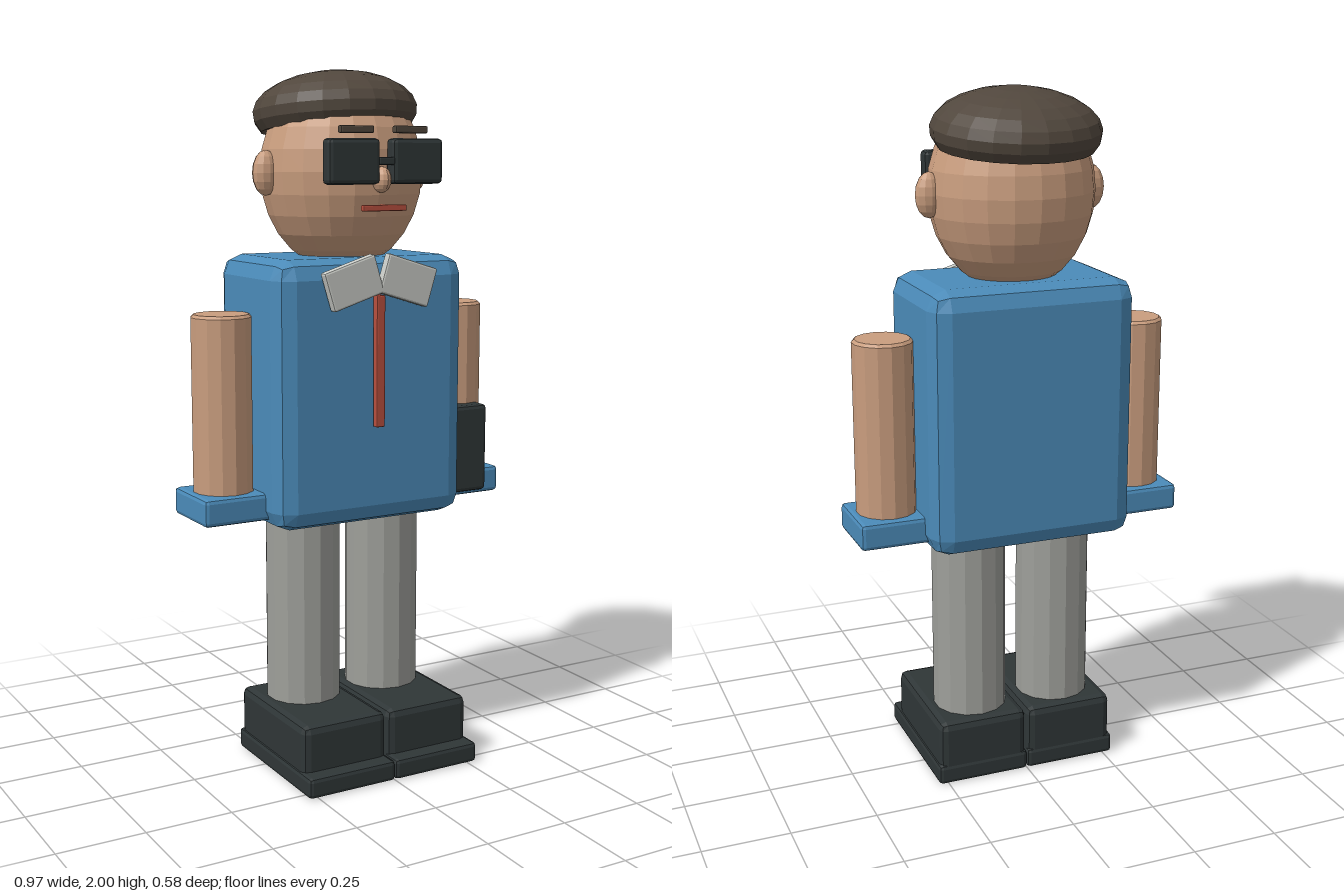
import * as THREE from 'three';
import { RoundedBoxGeometry } from 'three/addons/geometries/RoundedBoxGeometry.js';

const paint = (name, color) => Object.assign(new THREE.MeshStandardMaterial({ color }), { name });

export function createModel() {
  const blue = paint('shirtBlue', 0x4b8bb9);
  const skin = paint('skin', 0xc99d7e);
  const grey = paint('trouserGrey', 0x9e9f9a);
  const black = paint('black', 0x2f3637);
  const brown = paint('capBrown', 0x51473d);
  const white = paint('collarWhite', 0xc9cbc6);
  const red = paint('red', 0xb9503f);

  const model = new THREE.Group();
  model.name = 'figure';

  // Faceted mesh
  function add(name, geometry, material, x, y, z) {
    const flat = geometry.index ? geometry.toNonIndexed() : geometry;
    flat.computeVertexNormals();
    const mesh = new THREE.Mesh(flat, material);
    mesh.name = name;
    mesh.position.set(x, y, z);
    model.add(mesh);
    return mesh;
  }
  const box = (name, material, w, h, d, x, y, z, r = 0.012) =>
    add(name, new RoundedBoxGeometry(w, h, d, 1, r), material, x, y, z);
  const ball = (name, material, rx, ry, rz, x, y, z, sides = 12, rings = 8) =>
    add(name, new THREE.SphereGeometry(1, sides, rings).scale(rx, ry, rz), material, x, y, z);

  // Upright cylinder with slightly bevelled rims
  function post(name, material, r, y0, y1, x, z) {
    const b = 0.008;
    const profile = [[0, y0], [r - b, y0], [r, y0 + b], [r, y1 - b], [r - b, y1], [0, y1]];
    return add(name, new THREE.LatheGeometry(profile.map(p => new THREE.Vector2(...p)), 14), material, x, 0, z);
  }

  // Torso
  box('torso', blue, 0.605, 0.755, 0.398, 0, 1.108, -0.029, 0.055);

  // Head, nose and mouth
  ball('head', skin, 0.236, 0.28, 0.218, 0, 1.72, -0.028, 20, 14);
  ball('nose', skin, 0.024, 0.036, 0.035, 0, 1.7, 0.197);
  box('mouth', red, 0.136, 0.017, 0.018, 0, 1.624, 0.21, 0.003);

  // Flat cap: squashed dome tilted back, closed underneath
  const dome = [new THREE.Vector2(0, -0.048)];
  for (let i = 8; i >= 0; i--) {
    const a = i / 8 * 2.0;
    dome.push(new THREE.Vector2(Math.sin(a) * 0.238, Math.cos(a) * 0.115));
  }
  const cap = add('cap', new THREE.LatheGeometry(dome, 20), brown, 0, 1.885, -0.064);
  cap.rotation.x = -0.105;
  cap.scale.z = 0.96;

  // Bridge of the glasses and tie
  box('glassesBridge', black, 0.05, 0.022, 0.03, 0, 1.75, 0.212, 0.004);
  box('tie', red, 0.028, 0.37, 0.022, 0, 1.2, 0.188, 0.004);

  // Mirrored parts
  for (const [side, s] of [['left', 1], ['right', -1]]) {
    ball(side + 'Ear', skin, 0.04, 0.063, 0.031, s * 0.24, 1.717, -0.027);
    ball(side + 'Eye', black, 0.03, 0.03, 0.025, s * 0.085, 1.75, 0.19);
    box(side + 'Lens', black, 0.16, 0.123, 0.045, s * 0.1, 1.749, 0.206);
    box(side + 'Brow', brown, 0.102, 0.02, 0.022, s * 0.085, 1.834, 0.205, 0.004);
    box(side + 'Collar', white, 0.165, 0.112, 0.028, s * 0.086, 1.422, 0.19, 0.006).rotation.z = -s * 0.3;

    post(side + 'Arm', skin, 0.086, 0.752, 1.333, s * 0.382, -0.028);
    box(side + 'Cuff', blue, 0.21, 0.078, 0.215, s * 0.382, 0.795, -0.028);

    post(side + 'Leg', grey, 0.109, 0.15, 0.78, s * 0.133, -0.023);
    box(side + 'Shoe', black, 0.27, 0.17, 0.405, s * 0.137, 0.107, 0.042, 0.022);
    box(side + 'Sole', black, 0.279, 0.06, 0.455, s * 0.1395, 0.035, 0.064);
  }
  model.traverse(o => { if (/Sole$/.test(o.name)) o.position.y = 0.03; });

  // Case held at the left side
  box('case', black, 0.16, 0.262, 0.06, 0.35, 0.9, 0.069);

  return model;
}
